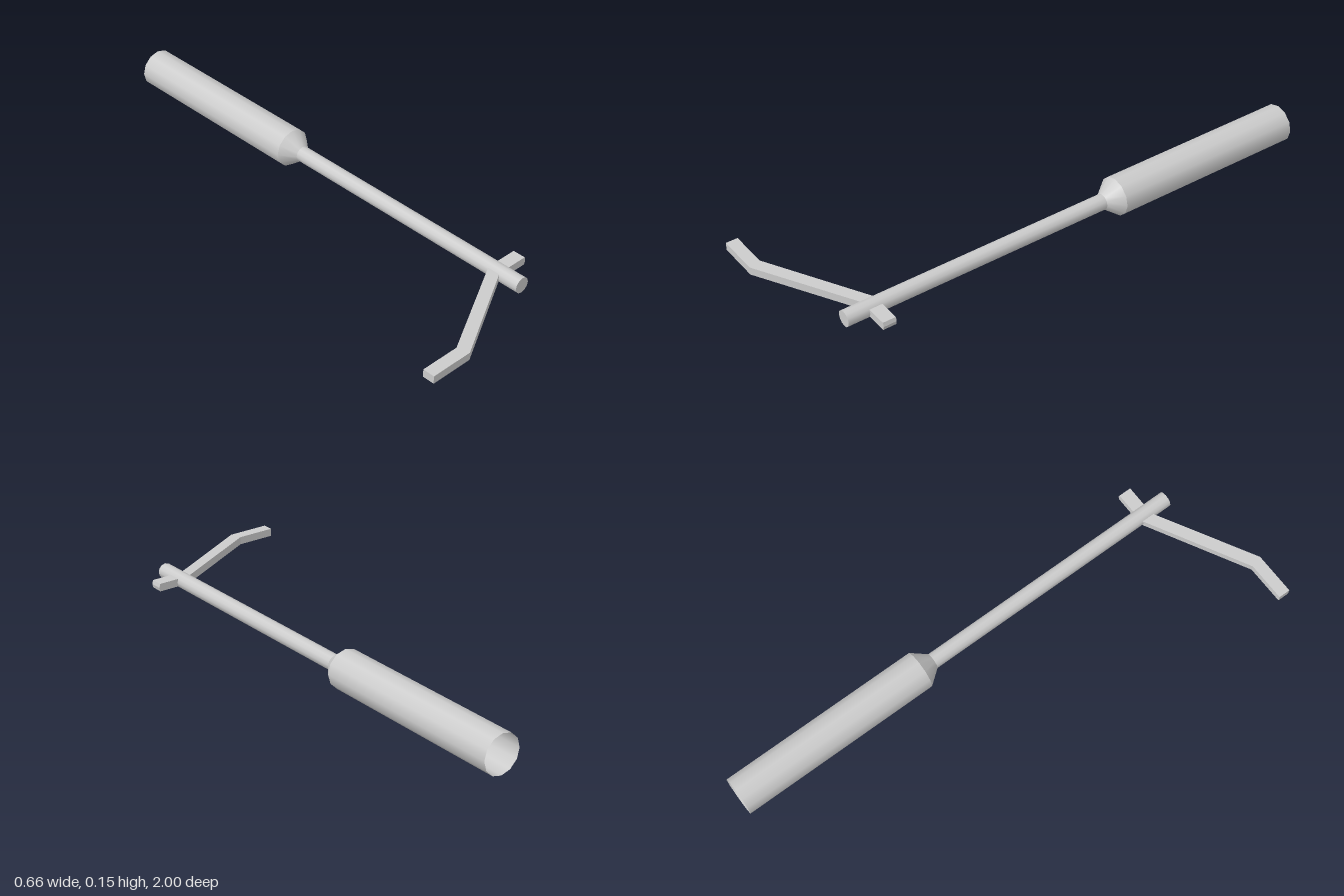
import * as THREE from 'three';

const SIDES = 12;
const AXIS_X = 0.22, AXIS_Y = 0.073;

export function createModel() {
  const group = new THREE.Group();
  const solid = new THREE.MeshStandardMaterial({ color: 0xcccccc });
  const open = new THREE.MeshStandardMaterial({ color: 0xcccccc, side: THREE.DoubleSide });

  function add(name, geometry, material) {
    const mesh = new THREE.Mesh(geometry, material);
    mesh.name = name;
    group.add(mesh);
  }

  // Round section along z, from the back radius to the front radius
  function tube(name, backR, frontR, z0, z1, isOpen) {
    const g = new THREE.CylinderGeometry(frontR, backR, z1 - z0, SIDES, 1, isOpen);
    g.rotateX(Math.PI / 2).translate(AXIS_X, AXIS_Y, (z0 + z1) / 2);
    add(name, g, isOpen ? open : solid);
  }

  // Hollow handle, open at the back, with a tapered collar
  tube('handle', 0.073, 0.073, -1, -0.23, true);
  tube('collar', 0.073, 0.03, -0.23, -0.175, true);
  tube('shaft', 0.03, 0.03, -0.175, 0.877, false);

  // Flat shape extruded by a depth
  function extrude(points, depth) {
    const shape = new THREE.Shape(points.map(([a, b]) => new THREE.Vector2(a, b)));
    return new THREE.ExtrudeGeometry(shape, { depth, bevelEnabled: false });
  }

  // Bent arm, outlined in x and z
  const arm = extrude([
    [-0.333, 0.955], [-0.333, 1], [-0.17, 1], [0.2, 0.796], [0.225, 0.796],
    [0.225, 0.747], [0.2, 0.747], [-0.183, 0.955],
  ], 0.03);
  arm.rotateX(Math.PI / 2).translate(0, AXIS_Y + 0.015, 0);
  add('bentArm', arm, solid);

  // Short stub with a slightly pointed end, outlined in x and y
  const stub = extrude([
    [0.225, 0.058], [0.326, 0.058], [0.33, 0.073], [0.326, 0.088], [0.225, 0.088],
  ], 0.049);
  stub.translate(0, 0, 0.747);
  add('armStub', stub, solid);

  return group;
}
